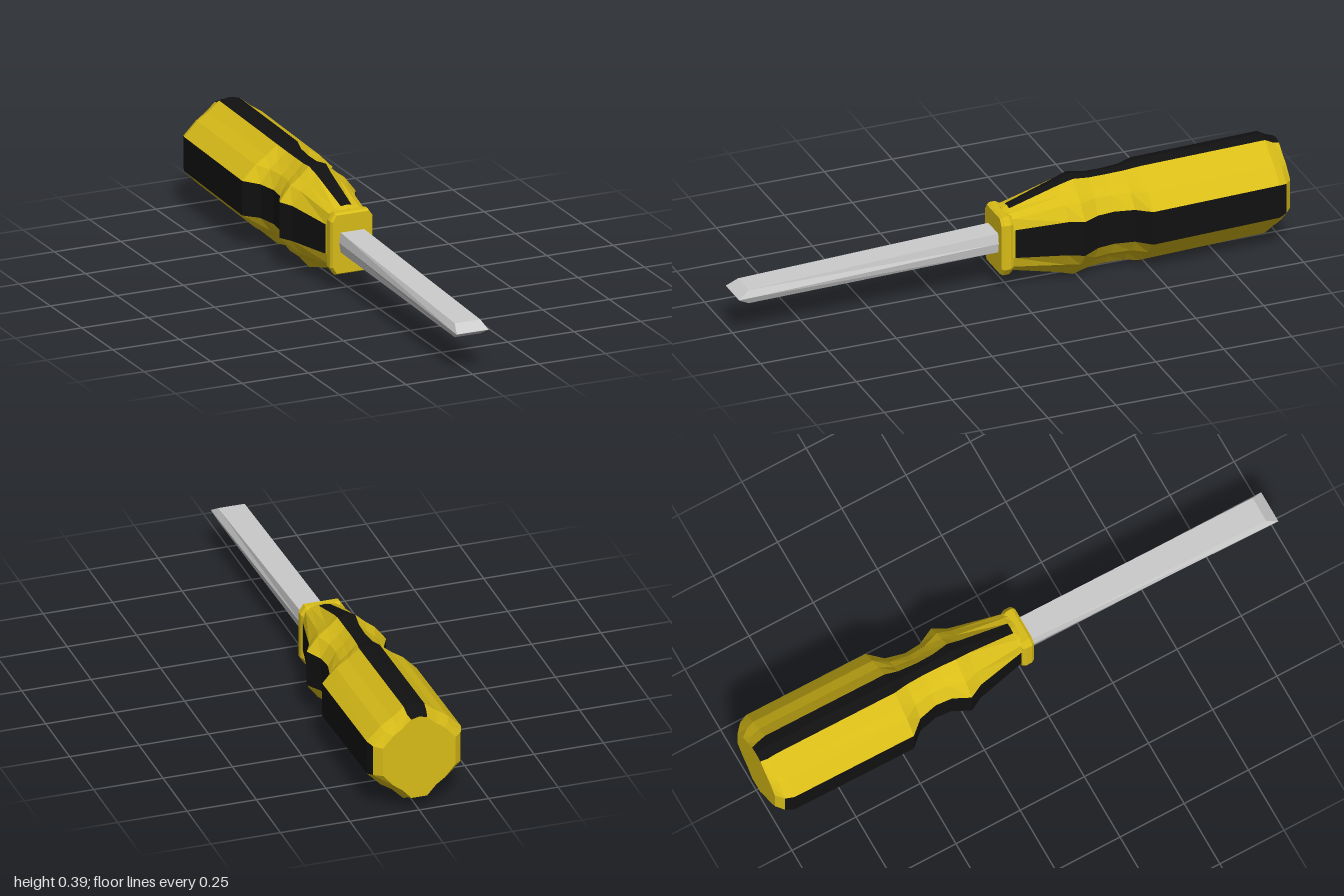
import * as THREE from 'three';

// The tool's axis rises slightly towards the back
const axisY = z => 0.179 - 0.027 * z;

const material = color => new THREE.MeshStandardMaterial({ color, flatShading: true });

// Joins rings (anticlockwise seen from +z, ordered back to front);
// keep(i, j) picks which quads belong to this mesh
function loft(name, rings, mat, keep = () => true, caps = true) {
  const pos = [];
  const put = (...points) => points.forEach(p => pos.push(p.x, p.y, p.z));
  const n = rings[0].length;
  for (let i = 0; i < rings.length - 1; i++) {
    for (let j = 0; j < n; j++) {
      if (!keep(i, j)) continue;
      const k = (j + 1) % n;
      const a = rings[i][j], b = rings[i][k], c = rings[i + 1][k], d = rings[i + 1][j];
      put(a, b, c, a, c, d);
    }
  }
  if (caps) {
    const back = rings[0], front = rings[rings.length - 1];
    for (let j = 1; j < n - 1; j++) {
      put(back[0], back[j + 1], back[j]);
      put(front[0], front[j], front[j + 1]);
    }
  }
  const geometry = new THREE.BufferGeometry();
  geometry.setAttribute('position', new THREE.Float32BufferAttribute(pos, 3));
  geometry.computeVertexNormals();
  const mesh = new THREE.Mesh(geometry, mat);
  mesh.name = name;
  return mesh;
}

// Normalised quarter profiles of the grip: faceted round and boxy
const ROUND = [[1, 0.34], [0.71, 0.62], [0.47, 0.765], [0.22, 0.955]];
const BOXY = [[1, 0.5], [0.9, 0.85], [0.62, 0.96], [0.27, 0.98]];

function gripRing([z, w, h, boxy]) {
  const q = ROUND.map(([x, y], i) => [
    THREE.MathUtils.lerp(x, BOXY[i][0], boxy),
    THREE.MathUtils.lerp(y, BOXY[i][1], boxy)
  ]);
  const r = [...q].reverse();
  const low = y => (y > 0.9 ? 1 : y); // flat underside
  return [
    ...q, [0, 1], ...r.map(([x, y]) => [-x, y]),
    ...q.map(([x, y]) => [-x, -low(y)]), [0, -1], ...r.map(([x, y]) => [x, -low(y)])
  ].map(([x, y]) => new THREE.Vector3(x * w, axisY(z) + y * h, z));
}

// Rectangle with cut corners
function collarRing([z, w, h, cut]) {
  return [
    [w, h - cut * 1.5], [w - cut, h], [-w + cut, h], [-w, h - cut * 1.5],
    [-w, -h + cut * 1.5], [-w + cut, -h], [w - cut, -h], [w, -h + cut * 1.5]
  ].map(([x, y]) => new THREE.Vector3(x, 0.172 + y, z));
}

// Six-sided blade: flat top and bottom, ridged sides
function bladeRing([z, w, flat, h]) {
  return [[w, 0], [flat, h], [-flat, h], [-w, 0], [-flat, -h], [flat, -h]]
    .map(([x, y]) => new THREE.Vector3(x, axisY(z) + y, z));
}

export function createModel() {
  const group = new THREE.Group();
  const yellow = material(0xd8bc18);
  const black = material(0x111111);
  const steel = material(0xcccccc);

  // Grip sections: z, half width, half height, boxiness
  const grip = [
    [-1, 0.13, 0.155, 0], [-0.975, 0.158, 0.163, 0], [-0.945, 0.17, 0.181, 0],
    [-0.48, 0.17, 0.183, 0], [-0.43, 0.125, 0.174, 0.05], [-0.36, 0.108, 0.172, 0.1],
    [-0.3, 0.113, 0.174, 0.1], [-0.24, 0.143, 0.1855, 0.05], [-0.19, 0.117, 0.17, 0.2],
    [-0.01, 0.077, 0.113, 0.8], [0.01, 0.073, 0.106, 1]
  ].map(gripRing);

  // Stripes: top and bottom run to the butt, the sides stop short of it
  const isTopOrBottom = (i, j) => [3, 4, 12, 13].includes(j) && i < 9;
  const isSide = (i, j) => [8, 17].includes(j) && i > 0 && i < 9;
  const isStripe = (i, j) => isTopOrBottom(i, j) || isSide(i, j);
  group.add(loft('gripBody', grip, yellow, (i, j) => !isStripe(i, j)));
  group.add(loft('topAndBottomStripes', grip, black, isTopOrBottom, false));
  group.add(loft('sideStripes', grip, black, isSide, false));

  // Collar between grip and blade
  group.add(loft('collar', [
    [-0.005, 0.074, 0.104, 0.016], [0.008, 0.08, 0.111, 0.018],
    [0.03, 0.08, 0.111, 0.018], [0.04, 0.074, 0.105, 0.016]
  ].map(collarRing), yellow));

  // Blade, widening to a bevelled tip
  group.add(loft('blade', [
    [0.02, 0.05, 0.044, 0.036], [0.96, 0.06, 0.048, 0.025], [1, 0.06, 0.06, 0.0005]
  ].map(bladeRing), steel));

  return group;
}
